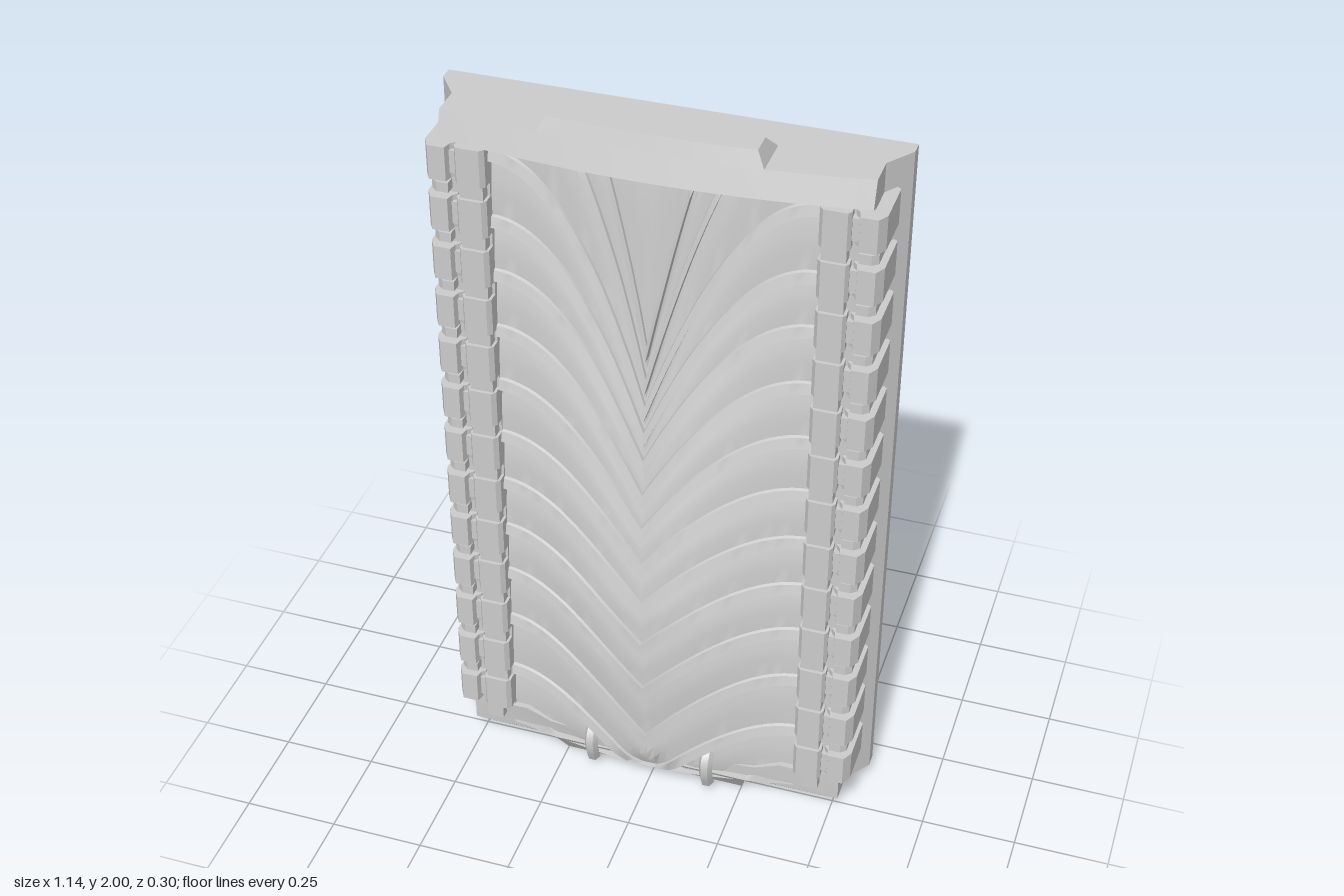
import * as THREE from 'three';
import { toCreasedNormals } from 'three/addons/utils/BufferGeometryUtils.js';

const mat = new THREE.MeshStandardMaterial({ color: 0xcccccc, side: THREE.DoubleSide });

function add(parent, name, geo, x = 0, y = 0, z = 0) {
  const m = new THREE.Mesh(geo, mat);
  m.name = name;
  m.position.set(x, y, z);
  parent.add(m);
  return m;
}

// Extrude an (x, z) outline upwards from y0 to y1
function prism(points, y0, y1) {
  const shape = new THREE.Shape(points.map(([x, z]) => new THREE.Vector2(x, -z)));
  const g = new THREE.ExtrudeGeometry(shape, { depth: y1 - y0, bevelEnabled: false });
  g.rotateX(-Math.PI / 2);
  g.translate(0, y0, 0);
  return g;
}

// Move vertices by a rule, then rebuild the normals
function reshape(geo, rule) {
  const p = geo.attributes.position, v = new THREE.Vector3();
  for (let i = 0; i < p.count; i++) {
    v.fromBufferAttribute(p, i);
    rule(v);
    p.setXYZ(i, v.x, v.y, v.z);
  }
  return toCreasedNormals(geo, 0.5);
}

// Flanged tray outline with a bowed front
function outline(edgeZ, midZ) {
  const pts = [[-0.52, -0.05], [-0.57, -0.12], [-0.57, -0.155], [0.57, -0.155], [0.57, -0.12], [0.52, -0.05]];
  for (let i = 0; i <= 24; i++) {
    const x = 0.52 - (1.04 * i) / 24;
    pts.push([x, midZ - (midZ - edgeZ) * (x / 0.52) ** 2]);
  }
  return pts;
}

// Height of the swelling panel along its centre line
const crest = [[0.05, 0.04], [0.1, 0.065], [0.2, 0.075], [0.45, 0.1], [0.65, 0.108], [0.9, 0.097],
  [1.2, 0.072], [1.4, 0.05], [1.6, 0.035], [1.95, 0.025]];
function panelZ(x, y) {
  let i = 0;
  while (i < crest.length - 2 && y > crest[i + 1][0]) i++;
  const [y0, a] = crest[i], [y1, b] = crest[i + 1];
  const t = THREE.MathUtils.clamp((y - y0) / (y1 - y0), 0, 1);
  return 0.018 + (a + (b - a) * t) * Math.cos((Math.PI / 2) * x / 0.45) ** 2;
}

// Lower edge of each layer: height at the centre and at the sides
const layers = [[-0.2, 0.07], [-0.02, 0.25], [0.15, 0.43], [0.34, 0.59], [0.5, 0.74], [0.64, 0.89], [0.77, 1.04],
  [0.88, 1.2], [0.98, 1.36], [1.08, 1.52], [1.16, 1.67], [1.235, 1.85], [1.31, 2.15], [1.4, 2.45], [1.9, 2.6]];
const edgeY = ([c, e], x) => c + (e - c) * (1 - (1 - Math.abs(x) / 0.4) ** 2);

// One overlapping layer: step, raised rim, then a slope running under the next layer
function layerGeometry(low, high) {
  const cols = 40, pos = [], idx = [];
  const rows = [[0, 0, -0.004], [0, 0, 0.024], [0, 0.027, 0.017], [0, 0.03, 0.009],
    [0.4, 0.018, 0.008], [0.7, 0.009, 0.004], [1, 0, -0.004]];
  rows.forEach(([t, up, out]) => {
    for (let i = 0; i <= cols; i++) {
      const x = -0.4 + (0.8 * i) / cols;
      const a = edgeY(low, x), b = edgeY(high, x);
      const steep = 1 + 0.5 * (1 - Math.abs(x) / 0.4);
      const y = THREE.MathUtils.clamp(Math.min(a + (b - a) * t + up * steep, b), 0.06, 1.91);
      pos.push(x, y, panelZ(x, y) + out);
    }
  });
  for (let r = 0; r < rows.length - 1; r++) {
    for (let i = 0; i < cols; i++) {
      const a = r * (cols + 1) + i, b = a + cols + 1;
      idx.push(a, a + 1, b + 1, a, b + 1, b);
    }
  }
  const g = new THREE.BufferGeometry();
  g.setAttribute('position', new THREE.Float32BufferAttribute(pos, 3));
  g.setIndex(idx);
  return toCreasedNormals(g, 0.45);
}

export function createModel() {
  const model = new THREE.Group();
  model.name = 'ribbedPanel';

  // Tray behind everything
  add(model, 'backTray', prism(outline(0, 0), 0.045, 1.96));

  // Top cap with a front that leans back
  add(model, 'topCap', reshape(prism(outline(0.05, 0.095), 1.895, 1.96), v => {
    if (v.z > 0 && v.y > 1.93) v.z -= 0.022;
  }));
  const tab = new THREE.BoxGeometry(0.54, 0.04, 0.12, 16, 1, 1);
  add(model, 'topTab', reshape(tab, v => {
    const top = v.y > 0, front = v.z > 0;
    const bow = 0.01 * (v.x / 0.27) ** 2;
    v.z = front ? (top ? 0.06 : 0.073) - bow : (top ? -0.01 : -0.05);
    if (top) v.x *= 0.93;
  }), 0, 1.98, 0);

  // Bottom cap: its upper edge rises towards the sides
  const rim = new THREE.Shape();
  rim.moveTo(-0.52, 0.045);
  rim.lineTo(0.52, 0.045);
  [[0.52, 0.13], [0.4, 0.13], [0.36, 0.135], [0.29, 0.11], [0.19, 0.11], [0.15, 0.075], [0, 0.075]]
    .forEach(([x, y]) => rim.lineTo(x, y));
  [[-0.15, 0.075], [-0.19, 0.11], [-0.29, 0.11], [-0.36, 0.135], [-0.4, 0.13], [-0.52, 0.13]]
    .forEach(([x, y]) => rim.lineTo(x, y));
  add(model, 'bottomCap', reshape(new THREE.ExtrudeGeometry(rim, { depth: 0.1, bevelEnabled: false }), v => {
    v.z = v.z > 0.05 ? 0.062 - 0.03 * (v.x / 0.52) ** 2 : -0.05;
  }));
  add(model, 'bottomTab', reshape(new THREE.BoxGeometry(0.54, 0.075, 0.07, 12, 1, 1), v => {
    const low = v.y < 0, front = v.z > 0;
    v.z = front ? (low ? 0.022 : 0.072) : (low ? 0.004 : 0.01);
    if (low) v.x *= 0.93;
  }), 0, 0.0375, 0);

  // Layered chevron panel
  const panel = new THREE.Group();
  panel.name = 'chevronPanel';
  model.add(panel);
  for (let i = 0; i < layers.length - 1; i++) add(panel, 'chevronLayer', layerGeometry(layers[i], layers[i + 1]));

  // Side rails with links, mirrored
  const outer = [[0.48, -0.06], [0.54, -0.085], [0.553, -0.075], [0.553, 0.045], [0.538, 0.072], [0.495, 0.072], [0.49, 0.05], [0.48, 0.04]];
  const inner = [[0.4, 0], [0.47, 0], [0.475, 0.06], [0.468, 0.072], [0.41, 0.072], [0.4, 0.06]];
  const bridge = [[0.47, 0], [0.5, 0], [0.5, 0.055], [0.47, 0.055]];
  const joint = [[0.495, -0.05], [0.54, -0.05], [0.54, 0.05], [0.525, 0.062], [0.495, 0.062]];
  for (const s of [-1, 1]) {
    const rail = new THREE.Group();
    rail.name = s > 0 ? 'leftRail' : 'rightRail';
    model.add(rail);
    const put = (name, pts, y, h) => {
      const p = pts.map(([x, z]) => [s * x, z]);
      add(rail, name, prism(p, y - h / 2, y + h / 2));
    };
    add(rail, 'railBase', new THREE.BoxGeometry(0.12, 1.8, 0.06), s * 0.46, 1.0, 0.005);
    for (let i = 0; i < 13; i++) {
      const y = 0.19 + i * 0.1375;
      put('outerLink', outer, y, 0.09);
      put('innerLink', inner, y, 0.1);
      put('linkBridge', bridge, y, 0.06);
      if (i < 12) {
        put('outerJoint', joint, y + 0.069, 0.026);
        add(rail, 'innerJoint', new THREE.BoxGeometry(0.06, 0.04, 0.06), s * 0.437, y + 0.069, 0.033);
      }
    }
    // Clips along the bottom edge
    add(rail, 'railClip', new THREE.BoxGeometry(0.045, 0.05, 0.07), s * 0.447, 0.122, 0.03);
    add(rail, 'sideClip', new THREE.BoxGeometry(0.03, 0.07, 0.05), s * 0.515, 0.11, -0.025);
    const clip = new THREE.CatmullRomCurve3([[0.03, 0.06], [0.08, 0.078], [0.12, 0.076], [0.14, 0.05], [0.14, 0.03]]
      .map(([y, z]) => new THREE.Vector3(s * 0.163, y, z)));
    const arm = add(rail, 'bottomClip', new THREE.TubeGeometry(clip, 14, 0.019, 6));
    arm.geometry = toCreasedNormals(arm.geometry, 0.5);
  }
  return model;
}
